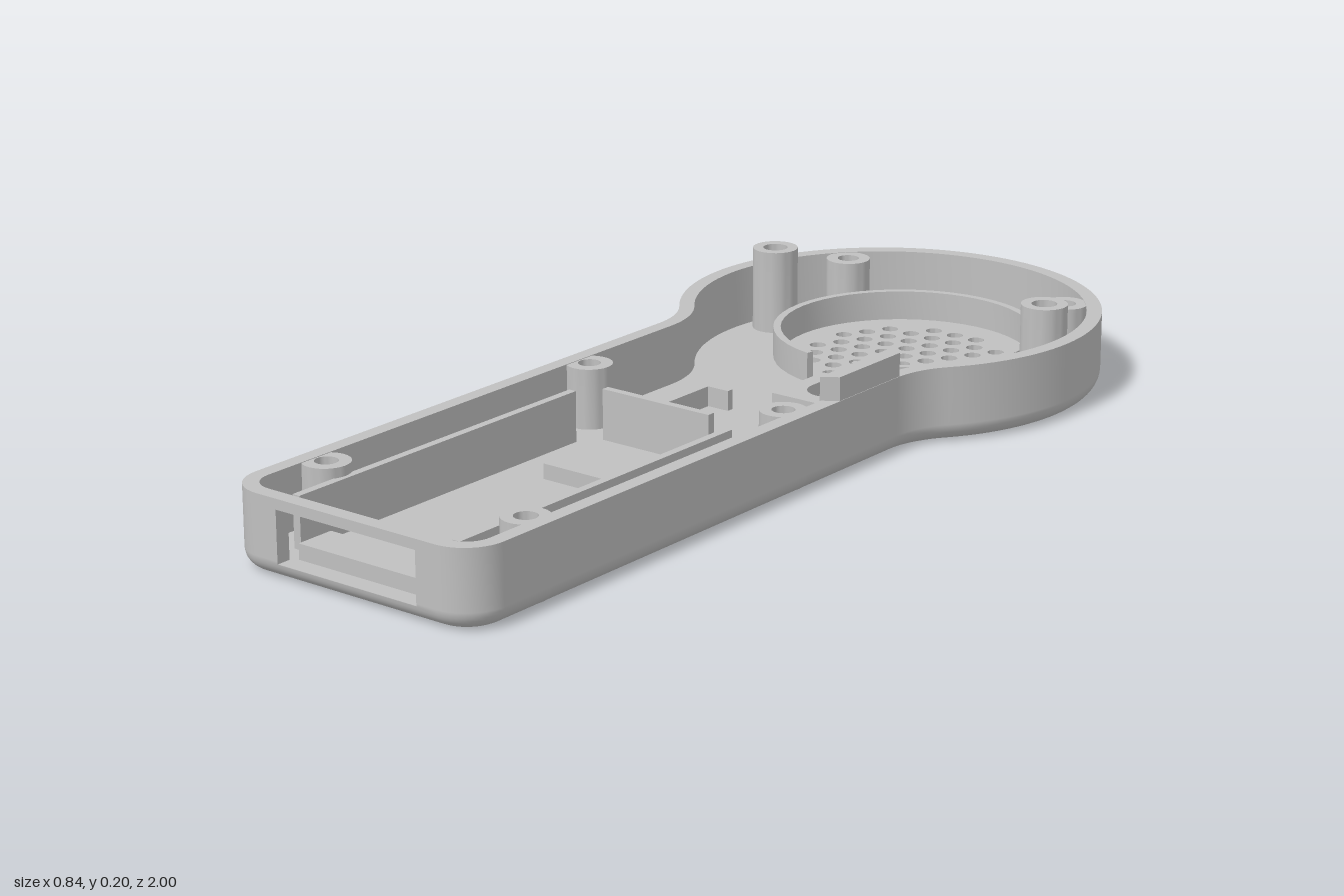
import * as THREE from 'three';
import { toCreasedNormals } from 'three/addons/utils/BufferGeometryUtils.js';

const HEAD_Z = -0.58, HEAD_R = 0.42, HALF_W = 0.285;
const FLOOR = 0.03, RIM = 0.15, WALL = 0.03, EDGE = 0.035;
const WIN = { x: 0.16, y0: 0.03, y1: 0.13 };
const BORE = 0.036, BOSS_X = 0.23, BOSS_Z = [0.08, 0.8];

// Half outline from the back of the head to the front window, with outward normals.
// Points with a bite (-1 start, 1 end) follow a counterbore that cuts the lower edge.
function halfOutline() {
  const pts = [];
  const arc = (cx, cz, r, a0, a1, n, sign = 1) => {
    for (let i = 0; i <= n; i++) {
      const a = a0 + (a1 - a0) * i / n, c = Math.cos(a), s = Math.sin(a);
      pts.push({ x: cx + r * c, z: cz + r * s, nx: sign * c, nz: sign * s, bite: 0 });
    }
  };
  const neckR = 0.182, neckZ = -0.2;
  const a = Math.atan2(neckZ - HEAD_Z, HALF_W + neckR);
  arc(0, HEAD_Z, HEAD_R, -Math.PI / 2, a, 40);
  pts.pop();
  arc(HALF_W + neckR, neckZ, neckR, Math.PI + a, Math.PI, 10, -1);
  for (const z of BOSS_Z) {
    for (const bite of [-1, 1]) pts.push({ x: HALF_W, z, nx: 1, nz: 0, bite });
  }
  arc(HALF_W - 0.08, 0.92, 0.08, 0, Math.PI / 2, 10);
  pts.push({ x: WIN.x, z: 1, nx: 0, nz: 1, bite: 0 });
  return pts;
}
const half = halfOutline();
const mirrored = half.slice(1).reverse().map(p => ({ ...p, x: -p.x, nx: -p.nx, bite: p.bite }));
const outline = [...half, ...mirrored];

// Outline point moved inwards by d, as [x, z]
function inset(p, d) {
  const dx = HALF_W - d - BOSS_X;
  const chord = Math.sqrt(Math.max(0, BORE * BORE - dx * dx));
  return [p.x - p.nx * d, p.z - p.nz * d + p.bite * chord];
}

// Sweep an [inset, y] profile round the outline, leaving the window and bites open
function sweep(profile) {
  const n = outline.length, pos = [], idx = [];
  for (const [d, y] of profile) {
    for (const p of outline) {
      const [x, z] = inset(p, d);
      pos.push(x, y, z);
    }
  }
  for (let k = 0; k < profile.length - 1; k++) {
    const lo = Math.min(profile[k][1], profile[k + 1][1]);
    const hi = Math.max(profile[k][1], profile[k + 1][1]);
    const inWindow = lo > WIN.y0 - 1e-4 && hi < WIN.y1 + 1e-4 && hi > lo;
    for (let i = 0; i < n; i++) {
      const j = (i + 1) % n;
      if (inWindow && i === half.length - 1) continue;
      const inBite = outline[i].bite * outline[j].bite < 0 && Math.abs(outline[i].z - outline[j].z) < 1e-6;
      if (inBite && hi < 0.02) continue;
      const a = k * n + i, b = k * n + j, c = a + n, d = b + n;
      idx.push(a, c, d, a, d, b);
    }
  }
  const g = new THREE.BufferGeometry();
  g.setAttribute('position', new THREE.Float32BufferAttribute(pos, 3));
  g.setIndex(idx);
  g.computeVertexNormals();
  return g;
}

// Floor plan in (x, -z), with the counterbores biting into both long sides
function floorShape() {
  const right = [];
  const dx = HALF_W - EDGE - BOSS_X, phi = Math.acos(dx / BORE);
  for (const p of half) {
    const [x, z] = inset(p, EDGE);
    right.push([x, z]);
    if (p.bite < 0) {
      for (let i = 1; i < 16; i++) {
        const a = -phi - (2 * Math.PI - 2 * phi) * i / 16;
        right.push([BOSS_X + BORE * Math.cos(a), p.z + BORE * Math.sin(a)]);
      }
    }
  }
  const left = right.slice(1).reverse().map(([x, z]) => [-x, z]);
  return new THREE.Shape([...right, ...left].map(([x, z]) => new THREE.Vector2(x, -z)));
}

// Plan shapes use (x, -z), then stand up along y
function extrudeUp(shape, y0, y1) {
  const g = new THREE.ExtrudeGeometry(shape, { depth: y1 - y0, bevelEnabled: false, curveSegments: 24 });
  g.rotateX(-Math.PI / 2).translate(0, y0, 0);
  return toCreasedNormals(g, 0.6);
}

function circleHole(x, z, r) {
  const h = new THREE.Path();
  h.absarc(x, -z, r, 0, Math.PI * 2, false);
  return h;
}

function lathe(points) {
  const g = new THREE.LatheGeometry(points.map(([r, y]) => new THREE.Vector2(r, y)), 28);
  return toCreasedNormals(g, 0.6);
}

export function createModel() {
  const group = new THREE.Group();
  const plastic = new THREE.MeshStandardMaterial({ color: 0xc0c0c0 });
  plastic.name = 'grey plastic';
  const add = (name, geometry, x = 0, y = 0, z = 0) => {
    const m = new THREE.Mesh(geometry, plastic);
    m.name = name;
    m.position.set(x, y, z);
    group.add(m);
  };
  // Box given by its limits
  const box = (name, x0, x1, y0, y1, z0, z1) => add(name,
    new THREE.BoxGeometry(x1 - x0, y1 - y0, z1 - z0), (x0 + x1) / 2, (y0 + y1) / 2, (z0 + z1) / 2);

  // Shell walls with a rounded lower edge
  const outer = [], arcEnd = Math.acos(1 - WIN.y0 / EDGE);
  for (let i = 0; i <= 8; i++) {
    const t = i / 8 * arcEnd;
    outer.push([EDGE * (1 - Math.sin(t)), EDGE * (1 - Math.cos(t))]);
  }
  outer.push([0, EDGE], [0, WIN.y1], [0, RIM]);
  add('outerWall', sweep(outer));
  add('rim', sweep([[0, RIM], [WALL, RIM]]));
  add('innerWall', sweep([[WALL, RIM], [WALL, WIN.y1], [WALL, FLOOR]]));
  add('floorBorder', sweep([[WALL, FLOOR], [EDGE, FLOOR]]));

  // Window reveal
  for (const s of [-1, 1]) {
    const x = s * (WIN.x + 0.002);
    box('windowJamb', x - 0.002, x + 0.002, WIN.y0, WIN.y1, 0.9702, 0.9995);
  }
  box('windowHead', -WIN.x, WIN.x, WIN.y1, WIN.y1 + 0.004, 0.9702, 0.9998);
  box('windowSill', -WIN.x, WIN.x, WIN.y0 - 0.004, WIN.y0, 0.965, 0.9985);

  // Floor with screw holes and speaker grille
  const floor = floorShape();
  const headScrew = [0.267, -0.806];
  for (const s of [-1, 1]) floor.holes.push(circleHole(s * headScrew[0], headScrew[1], 0.0343));
  [3, 6, 7, 8, 7, 8, 7, 6, 3].forEach((count, row) => {
    for (let i = 0; i < count; i++) {
      floor.holes.push(circleHole((i - (count - 1) / 2) * 0.0522, -0.632 + (row - 4) * 0.045, 0.0165));
    }
  });
  add('floor', extrudeUp(floor, 0, FLOOR));

  // Counterbored screw bosses and tall blind posts
  const boss = lathe([[BORE, 0.003], [0.045, 0.015], [0.045, 0.149], [0.022, 0.149],
    [0.022, 0.08], [BORE, 0.08], [BORE, 0.003]]);
  const post = lathe([[0.046, FLOOR], [0.046, 0.2], [0.025, 0.2], [0.025, 0.1], [0, 0.1]]);
  for (const s of [-1, 1]) {
    for (const z of BOSS_Z) add('handleBoss', boss, s * BOSS_X, 0, z);
    add('headBoss', boss, s * headScrew[0], 0, headScrew[1]);
    add('tallPost', post, s * 0.328, 0, -0.635);
  }

  // Speaker ring, open towards the handle
  const ring = new THREE.Shape();
  const a0 = -Math.PI / 2 + 0.2, a1 = Math.PI * 1.5 - 0.2;
  ring.absarc(0, 0.637, 0.267, a0, a1, false);
  ring.absarc(0, 0.637, 0.252, a1, a0, true);
  add('speakerRing', extrudeUp(ring, FLOOR, 0.09));

  // Handle interior: side rails, cross plate, pad, front block
  for (const s of [-1, 1]) {
    const x = s * 0.184;
    box('sideRail', x - 0.008, x + 0.008, FLOOR, 0.13, 0.185, 0.925);
  }
  box('crossPlate', -0.125, 0.125, FLOOR, 0.14, 0.152, 0.168);
  box('floorPad', -0.088, 0.087, FLOOR, 0.06, 0.213, 0.383);
  box('frontBlock', -0.147, 0.147, FLOOR, 0.06, 0.88, 0.96);

  // Low component frame
  box('frameSide', -0.125, -0.113, FLOOR, 0.07, -0.15, 0.117);
  box('frameSide', 0.113, 0.125, FLOOR, 0.07, -0.05, 0.117);
  box('frameEnd', -0.125, 0.125, FLOOR, 0.07, 0.105, 0.117);
  box('frameLip', -0.125, -0.065, FLOOR, 0.07, -0.15, -0.136);
  box('frameLip', 0.06, 0.12, FLOOR, 0.07, -0.15, -0.136);

  // Slotted bracket beside the raised wall tab
  const bracket = new THREE.Shape();
  bracket.moveTo(0.113, 0.04);
  bracket.lineTo(0.27, 0.04);
  bracket.lineTo(0.27, 0.2);
  bracket.lineTo(0.235, 0.2);
  bracket.lineTo(0.235, 0.122);
  bracket.absarc(0.19, 0.122, 0.045, 0, -Math.PI, true);
  bracket.lineTo(0.145, 0.2);
  bracket.lineTo(0.113, 0.2);
  add('slotBracket', extrudeUp(bracket, FLOOR, 0.127));

  // Raised tab with slanted ends
  const tab = new THREE.Shape([[0.253, 0], [0.284, 0.02], [0.284, 0.21], [0.253, 0.23]]
    .map(([x, y]) => new THREE.Vector2(x, y)));
  add('wallTab', extrudeUp(tab, 0.1, 0.196));

  return group;
}
